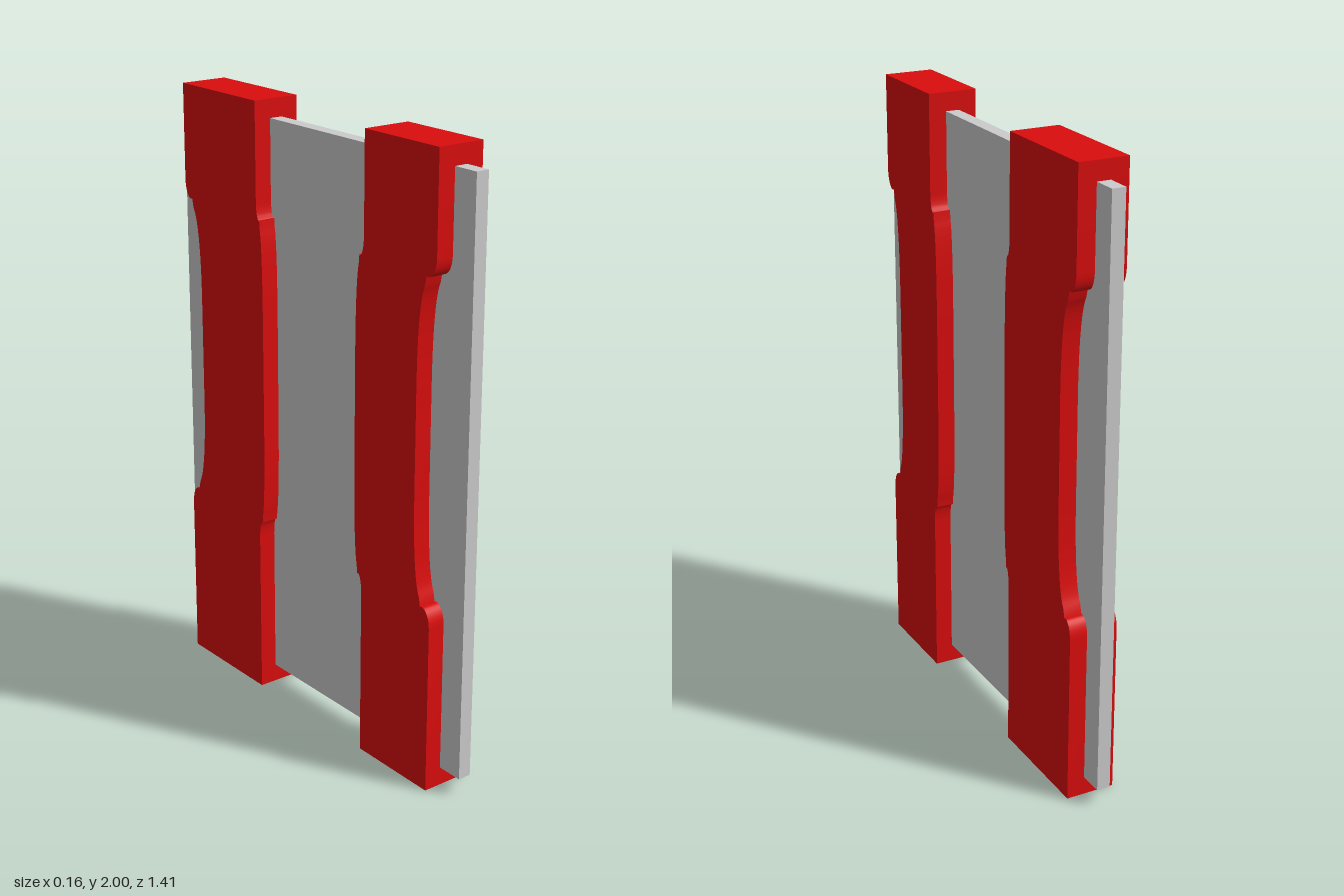
import * as THREE from 'three';
import { toCreasedNormals } from 'three/addons/utils/BufferGeometryUtils.js';

const RED = 0xd90d0d;
const MID = 1.12; // height about which the waist is mirrored

// S-curved edge, bottom to top: z moves from `end` to `waist` and back again
function edge(end, waist, bend) {
  const zBend = end + (waist - end) * bend;
  const shoulder = new THREE.CubicBezierCurve(
    new THREE.Vector2(end, 0.57), new THREE.Vector2(end, 0.48),
    new THREE.Vector2(zBend + (end - zBend) * 0.4, 0.5), new THREE.Vector2(zBend, 0.51));
  shoulder.v1.y = 0.525;
  const hollow = new THREE.CubicBezierCurve(
    new THREE.Vector2(zBend, 0.49), new THREE.Vector2(waist + (zBend - waist) * 0.3, 0.46),
    new THREE.Vector2(waist, 0.34), new THREE.Vector2(waist, 0.17));
  // curve heights are measured away from MID
  const half = [...shoulder.getPoints(8), ...hollow.getPoints(12).slice(1)];
  const lower = half.map(p => new THREE.Vector2(p.x, MID - p.y));
  const upper = half.map(p => new THREE.Vector2(p.x, MID + p.y)).reverse();
  return [new THREE.Vector2(end, 0), ...lower, ...upper, new THREE.Vector2(end, 2)];
}

// Waisted bar wrapped around the panel, extruded across x
function bar(name, edgeA, edgeB) {
  const points = [...edgeA, ...edgeB.reverse()];
  const width = 0.16;
  const geometry = new THREE.ExtrudeGeometry(new THREE.Shape(points), { depth: width, bevelEnabled: false });
  geometry.translate(0, 0, -width / 2);
  geometry.rotateY(-Math.PI / 2);
  const mesh = new THREE.Mesh(toCreasedNormals(geometry, 0.6),
    new THREE.MeshStandardMaterial({ color: RED }));
  mesh.name = name;
  return mesh;
}

export function createModel() {
  const group = new THREE.Group();
  group.name = 'barredPanel';

  // Thin flat panel
  const panel = new THREE.Mesh(new THREE.BoxGeometry(0.044, 1.88, 1.41),
    new THREE.MeshStandardMaterial({ color: 0xcccccc }));
  panel.name = 'panel';
  panel.position.y = 1;
  group.add(panel);

  // Two upright bars, each curving inwards at the waist
  group.add(bar('frontBar', edge(0.617, 0.54, 0.55), edge(0.297, 0.26, 0.55)));
  group.add(bar('backBar', edge(-0.625, -0.545, 0.45), edge(-0.235, -0.205, 0.55)));
  return group;
}
